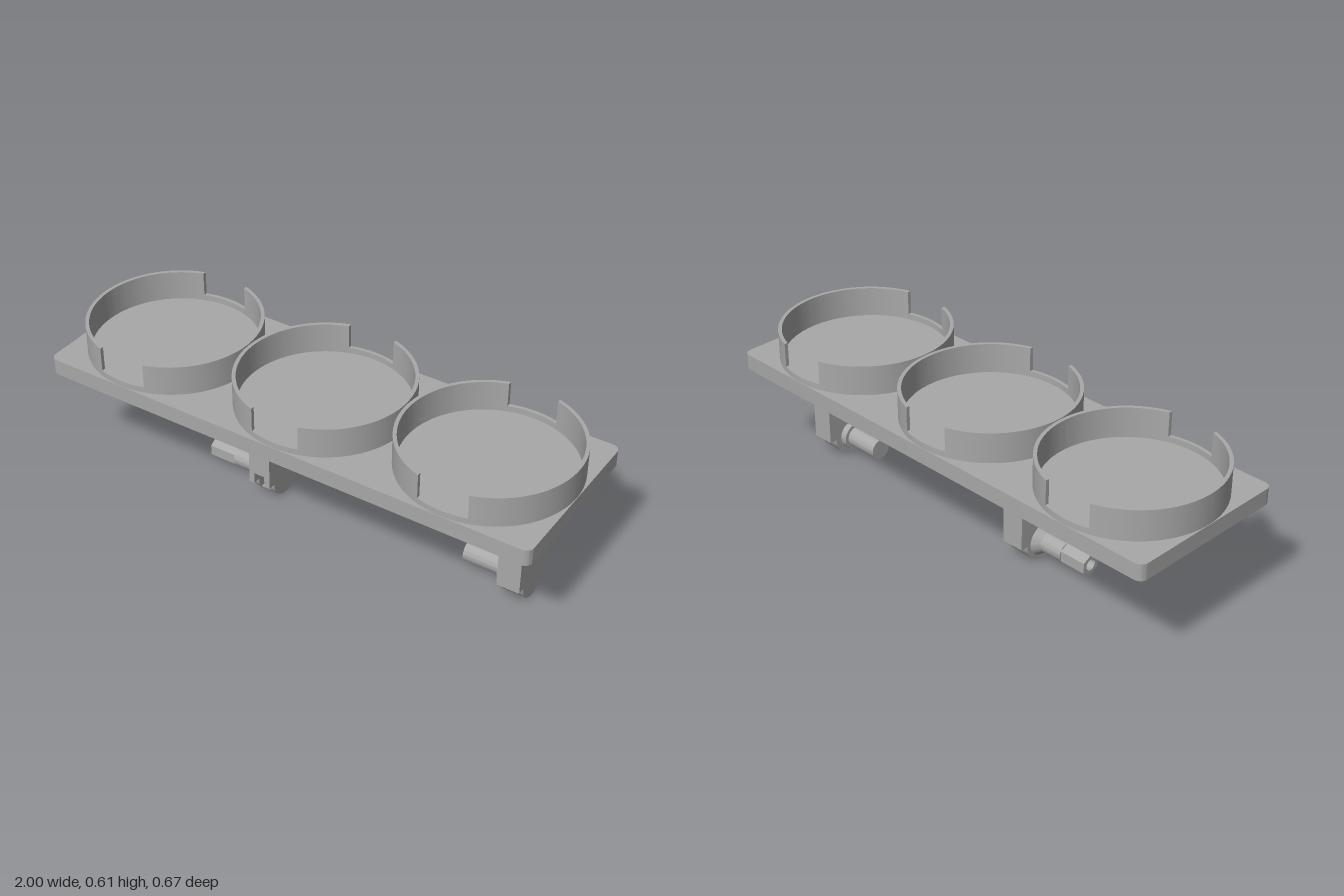
import * as THREE from 'three';
import { toCreasedNormals } from 'three/addons/utils/BufferGeometryUtils.js';

const grey = new THREE.MeshStandardMaterial({ color: 0xa8a8a8 });
grey.name = 'grey plastic';

const PLATE_BOTTOM = 0.423, PLATE_TOP = 0.487, LIP_TOP = 0.51, RIM_TOP = 0.605;
const RING_OUT = 0.331, RING_IN = 0.317, GAP = 0.096;
const AXIS_Y = 0.08, FOOT_R = 0.08, ARM_Z = 0.11;

function part(name, geometry) {
  const mesh = new THREE.Mesh(toCreasedNormals(geometry, 0.5), grey);
  mesh.name = name;
  return mesh;
}

function extrude(shape, depth, curveSegments = 32) {
  return new THREE.ExtrudeGeometry(shape, { depth, bevelEnabled: false, curveSegments });
}

// Shape drawn in plan, raised from y0 to y1
function raise(shape, y0, y1, segments) {
  return extrude(shape, y1 - y0, segments).rotateX(-Math.PI / 2).translate(0, y0, 0);
}

// Shape drawn in (-z, y), extruded from x0 to x1
function across(shape, x0, x1) {
  return extrude(shape, x1 - x0).rotateY(Math.PI / 2).translate(x0, 0, 0);
}

function circleHole(shape, x, y, r) {
  const hole = new THREE.Path();
  hole.absarc(x, y, r, 0, Math.PI * 2, true);
  shape.holes.push(hole);
  return shape;
}

function plateShape(w, d, r) {
  const s = new THREE.Shape();
  s.absarc(w - r, d - r, r, 0, Math.PI / 2);
  s.absarc(-w + r, d - r, r, Math.PI / 2, Math.PI);
  s.absarc(-w + r, -d + r, r, Math.PI, Math.PI * 1.5);
  s.absarc(w - r, -d + r, r, Math.PI * 1.5, Math.PI * 2);
  return s;
}

// Cup holder: low full ring with two tall walls, open at front and back
function cupRing(x) {
  const ring = new THREE.Group();
  ring.name = 'cupRing';
  ring.position.x = x;
  const lip = new THREE.Shape();
  lip.absarc(0, 0, RING_OUT, 0, Math.PI * 2);
  ring.add(part('ringLip', raise(circleHole(lip, 0, 0, RING_IN), PLATE_TOP, LIP_TOP, 72)));
  const a = Math.acos(GAP / RING_OUT), b = Math.acos(GAP / RING_IN);
  for (const turn of [0, Math.PI]) {
    const wall = new THREE.Shape();
    wall.absarc(0, 0, RING_OUT, -a, a, false);
    wall.absarc(0, 0, RING_IN, b, -b, true);
    const mesh = part('ringWall', raise(wall, LIP_TOP, RIM_TOP, 48));
    mesh.rotation.y = turn;
    ring.add(mesh);
  }
  return ring;
}

// Arm outline with rounded foot; the pocket variant is cut in from the front
function armShape(pocket) {
  const s = new THREE.Shape();
  s.moveTo(-ARM_Z, PLATE_BOTTOM);
  if (pocket) {
    const h = 0.045, k = h / Math.sqrt(3);
    s.lineTo(-ARM_Z, AXIS_Y + h);
    s.lineTo(k, AXIS_Y + h);
    s.lineTo(2 * k, AXIS_Y);
    s.lineTo(k, AXIS_Y - h);
    s.absarc(0, AXIS_Y, FOOT_R, Math.PI + Math.asin(h / FOOT_R), Math.PI * 2, false);
  } else {
    s.lineTo(-ARM_Z, AXIS_Y);
    s.absarc(0, AXIS_Y, FOOT_R, Math.PI, Math.PI * 2, false);
  }
  s.lineTo(ARM_Z, AXIS_Y);
  s.lineTo(ARM_Z, PLATE_BOTTOM);
  return s;
}

// Turned pin pointing to -x; profile is [radius, distance] from the arm
function pin(name, profile, x) {
  const points = profile.map(([r, d]) => new THREE.Vector2(r, d));
  const g = new THREE.LatheGeometry(points, 40);
  return part(name, g.rotateZ(Math.PI / 2).translate(x, AXIS_Y, 0));
}

export function createModel() {
  const model = new THREE.Group();
  model.name = 'cupHolderTray';

  model.add(part('basePlate', raise(plateShape(1, 0.333, 0.03), PLATE_BOTTOM, PLATE_TOP, 8)));
  for (const x of [-0.667, 0, 0.667]) model.add(cupRing(x));

  // Plain arm with solid stepped pin
  const plain = new THREE.Group();
  plain.name = 'plainArm';
  plain.add(part('armBody', across(armShape(false), 0.783, 0.873)));
  plain.add(pin('solidPin', [[0.056, 0], [0.056, 0.028], [0.042, 0.028], [0.042, 0.173], [0, 0.173]], 0.783));
  model.add(plain);

  // Bolt arm: layers with a nut pocket in the middle and a bored pin
  const bolt = new THREE.Group();
  bolt.name = 'boltArm';
  const bore = 0.022;
  bolt.add(part('armInnerLayer', across(circleHole(armShape(false), 0, AXIS_Y, bore), -0.267, -0.245)));
  bolt.add(part('armPocketLayer', across(armShape(true), -0.245, -0.2)));
  bolt.add(part('armOuterLayer', across(armShape(false), -0.2, -0.176)));
  bolt.add(pin('boredPin', [[0.064, 0], [0.042, 0.027], [0.042, 0.123], [bore, 0.123], [bore, 0]], -0.267));
  const hex = new THREE.Shape();
  for (let i = 0; i < 6; i++) {
    const t = Math.PI / 2 + (i * Math.PI) / 3;
    hex[i ? 'lineTo' : 'moveTo'](0.042 * Math.cos(t), AXIS_Y + 0.042 * Math.sin(t));
  }
  bolt.add(part('hexTip', across(circleHole(hex, 0, AXIS_Y, bore), -0.5, -0.39)));
  model.add(bolt);

  return model;
}
